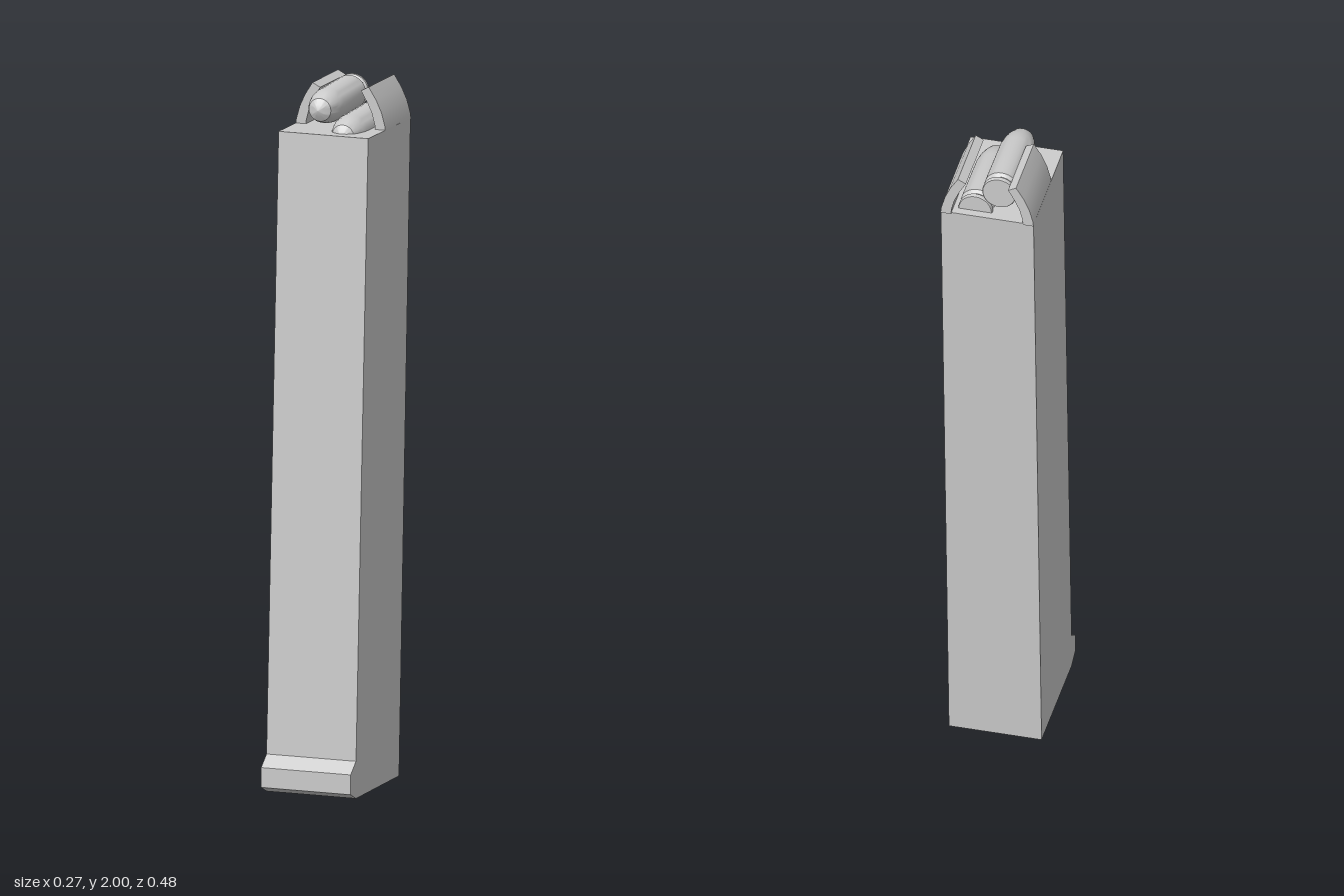
import * as THREE from 'three';
import { toCreasedNormals } from 'three/addons/utils/BufferGeometryUtils.js';

const material = new THREE.MeshStandardMaterial({ color: 0xcccccc });

function addMesh(group, name, geometry) {
  const mesh = new THREE.Mesh(geometry, material);
  mesh.name = name;
  group.add(mesh);
  return mesh;
}

function extrude(points, depth) {
  const shape = new THREE.Shape(points.map(([x, y]) => new THREE.Vector2(x, y)));
  return new THREE.ExtrudeGeometry(shape, { depth, bevelEnabled: false });
}

export function createModel() {
  const model = new THREE.Group();
  model.name = 'magazine';

  // Slanted casing with a small toe at the bottom: side profile as (z, y)
  const width = 0.268;
  const casing = extrude([
    [-0.145, 0], [0.2, 0.008], [0.243, 0.028], [0.243, 0.085],
    [0.2, 0.115], [0.103, 1.885], [-0.237, 1.872],
  ], width);
  casing.rotateY(-Math.PI / 2).translate(width / 2, 0, 0);
  addMesh(model, 'casing', casing);

  // Curved feed lips, mirrored, sloping slightly down to the rear
  const lipProfile = [
    [0.134, 1.875], [0.133, 1.89], [0.122, 1.93], [0.106, 1.965], [0.084, 2.0],
    [0.061, 1.988], [0.08, 1.955], [0.094, 1.925], [0.103, 1.89], [0.104, 1.875],
  ];
  for (const [side, name] of [[1, 'leftFeedLip'], [-1, 'rightFeedLip']]) {
    const lip = extrude(lipProfile.map(([x, y]) => [x * side, y]), 0.205);
    lip.translate(0, 0, -0.24);
    const p = lip.attributes.position;
    for (let i = 0; i < p.count; i++) p.setY(i, p.getY(i) + 0.03 * (p.getZ(i) + 0.035));
    addMesh(model, name, toCreasedNormals(lip, 0.5));
  }

  // Two staggered cartridges: rim, groove, case and pointed bullet as (radius, z)
  const cartridgeProfile = [
    [0, -0.213], [0.047, -0.213], [0.049, -0.21], [0.049, -0.201], [0.043, -0.198],
    [0.043, -0.192], [0.05, -0.182], [0.05, -0.01], [0.047, 0.015],
    [0.041, 0.037], [0.033, 0.056], [0.017, 0.066], [0, 0.073],
  ].map(([r, z]) => new THREE.Vector2(r, z));
  const cartridge = toCreasedNormals(new THREE.LatheGeometry(cartridgeProfile, 28), 0.6);
  cartridge.rotateX(Math.PI / 2);
  addMesh(model, 'upperCartridge', cartridge).position.set(-0.028, 1.945, 0);
  addMesh(model, 'lowerCartridge', cartridge).position.set(0.041, 1.874, 0);

  return model;
}
